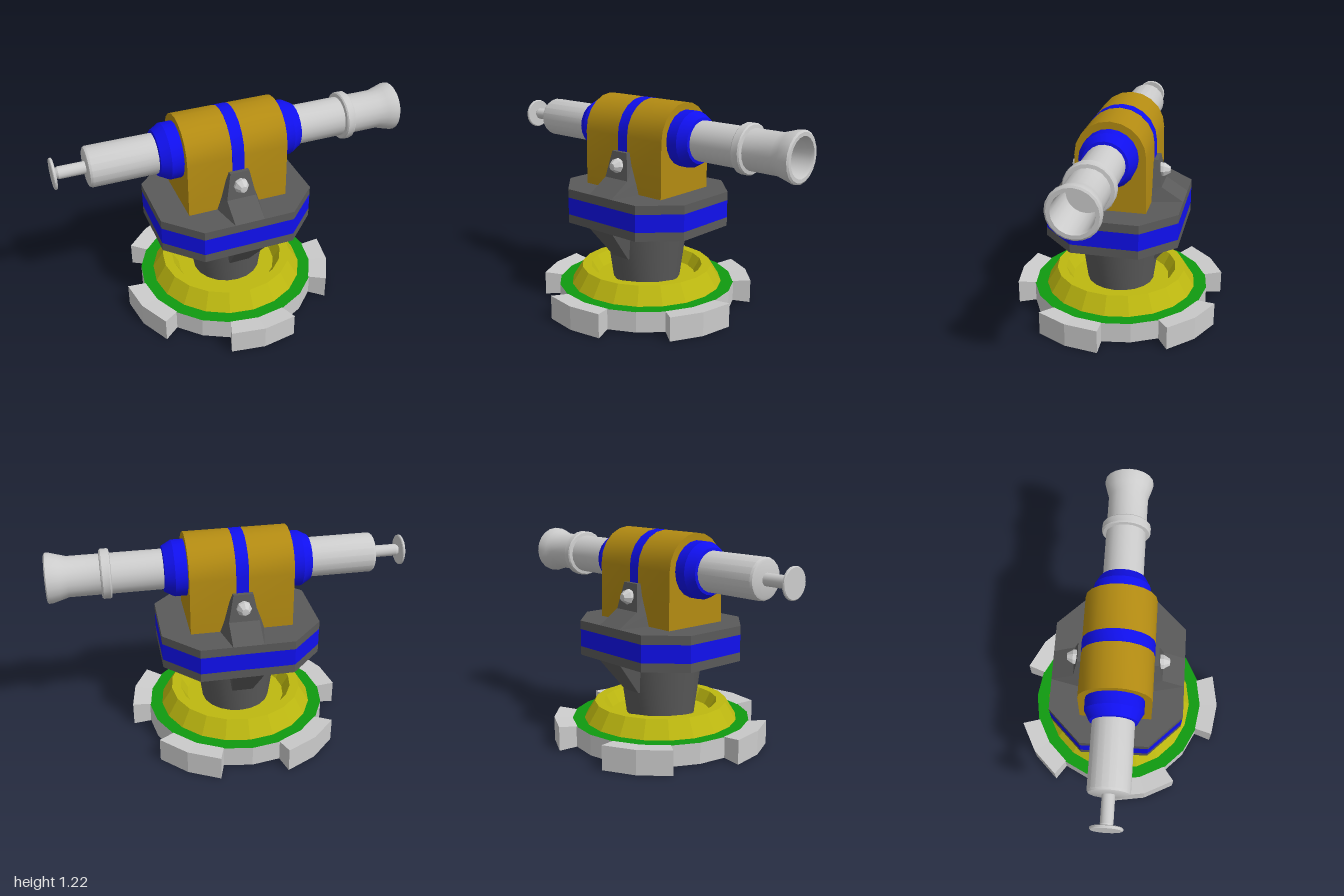
import * as THREE from 'three';
import { toCreasedNormals } from 'three/addons/utils/BufferGeometryUtils.js';

const SIDES = 20, STEP = Math.PI / 10, AXIS_Y = 1.025;
const material = (color, flatShading = false) =>
  new THREE.MeshStandardMaterial({ color, flatShading });
const grey = material(0xcccccc), greyFlat = material(0xcccccc, true);
const dark = material(0x5a5a5a, true), darkSmooth = material(0x5a5a5a);
const blue = material(0x1010ee), blueFlat = material(0x1010ee, true);
const gold = material(0xb38b12), yellow = material(0xbdb810, true), green = material(0x109a10, true);

function add(parent, name, geometry, mat) {
  const mesh = new THREE.Mesh(geometry, mat);
  mesh.name = name;
  parent.add(mesh);
  return mesh;
}

// Turned part from [radius, height] pairs
function turned(profile, sides = SIDES) {
  const points = profile.map(([r, y]) => new THREE.Vector2(r, y));
  return toCreasedNormals(new THREE.LatheGeometry(points, sides), 0.5);
}

// Turned part lying along x, from [x, radius] pairs
const turnedAlongX = (profile) =>
  turned(profile.map(([x, r]) => [r, x])).rotateZ(-Math.PI / 2);

// Closed solid through rings of [x, y, z], counterclockwise seen from above, bottom ring first
function loft(rings) {
  const pos = [], n = rings[0].length;
  const tri = (a, b, c) => pos.push(...a, ...b, ...c);
  for (let i = 0; i + 1 < rings.length; i++) {
    const lo = rings[i], hi = rings[i + 1];
    for (let j = 0; j < n; j++) {
      const k = (j + 1) % n;
      tri(lo[j], lo[k], hi[k]);
      tri(lo[j], hi[k], hi[j]);
    }
  }
  const bottom = rings[0], top = rings[rings.length - 1];
  for (let j = 1; j + 1 < n; j++) {
    tri(bottom[0], bottom[j + 1], bottom[j]);
    tri(top[0], top[j], top[j + 1]);
  }
  const g = new THREE.BufferGeometry();
  g.setAttribute('position', new THREE.Float32BufferAttribute(pos, 3));
  g.computeVertexNormals();
  return g;
}

// Trapezoid ring: inner z and half width, outer z and half width
const trapezoid = (y, zi, hi, zo, ho) =>
  [[-hi, y, zi], [-ho, y, zo], [ho, y, zo], [hi, y, zi]];

const octagon = (y) => [
  [-0.262, 0.376], [0.262, 0.376], [0.447, 0.19], [0.447, -0.19],
  [0.262, -0.376], [-0.262, -0.376], [-0.447, -0.19], [-0.447, 0.19],
].map(([x, z]) => [x, y, z]);

function toothRing(yInner, yOuter) {
  const p = (r, y, k) => [r * Math.sin(k * STEP), y, r * Math.cos(k * STEP)];
  return [p(0.622, yOuter, 0), p(0.622, yOuter, 1), p(0.515, yInner, 1),
    p(0.515, yInner, 0), p(0.515, yInner, -1), p(0.622, yOuter, -1)];
}

// Round-topped housing slice between two x positions
function housing(x0, x1, grow = 0) {
  const shape = new THREE.Shape();
  shape.moveTo(-0.2 - grow, 0.71);
  shape.lineTo(0.2 + grow, 0.71);
  for (let i = 0; i <= 10; i++) {
    const a = i * STEP, r = 0.197 + grow;
    shape.lineTo(r * Math.cos(a), AXIS_Y + r * Math.sin(a));
  }
  shape.closePath();
  const g = new THREE.ExtrudeGeometry(shape, { depth: x1 - x0, bevelEnabled: false });
  return toCreasedNormals(g.rotateY(Math.PI / 2).translate(x0, 0, 0), 0.5);
}

function createBase() {
  const base = new THREE.Group();
  base.name = 'base';
  add(base, 'baseDisc', turned([[0, 0.01], [0.52, 0.01], [0.52, 0.13]]), greyFlat);
  add(base, 'baseRim', turned([[0.52, 0.13], [0.44, 0.13]]), green);
  add(base, 'bearingRing', turned([[0.446, 0.13], [0.384, 0.23], [0.33, 0.23],
    [0.29, 0.16], [0, 0.16]]), yellow);
  const tooth = loft([toothRing(0.01, 0), toothRing(0.13, 0.14)]);
  for (let i = 0; i < 5; i++)
    add(base, 'tooth', tooth, greyFlat).rotation.y = i * Math.PI * 0.4;
  return base;
}

function createPlatform() {
  const platform = new THREE.Group();
  platform.name = 'platform';
  add(platform, 'pedestal', turned([[0.197, 0.15], [0.246, 0.51]]), darkSmooth);
  for (const [name, y0, y1, mat] of [['platformBottom', 0.51, 0.56, dark],
    ['platformStripe', 0.56, 0.66, blueFlat], ['platformTop', 0.66, 0.71, dark]])
    add(platform, name, loft([octagon(y0), octagon(y1)]), mat);

  // Struts, brackets and bolts at front and back
  const strut = loft([trapezoid(0.32, 0.1, 0.06, 0.222, 0.06),
    trapezoid(0.51, 0.1, 0.09, 0.375, 0.09)]);
  const bracket = loft([trapezoid(0.71, 0.15, 0.135, 0.376, 0.085),
    trapezoid(0.79, 0.15, 0.11, 0.25, 0.085), trapezoid(0.94, 0.15, 0.055, 0.222, 0.055)]);
  const bolt = turned([[0.042, 0.2], [0.042, 0.25], [0.02, 0.284], [0, 0.286]], 8)
    .rotateX(Math.PI / 2).translate(0, 0.865, 0);
  for (const turn of [0, Math.PI]) {
    const side = new THREE.Group();
    side.name = 'mount';
    side.rotation.y = turn;
    add(side, 'strut', strut, dark);
    add(side, 'bracket', bracket, dark);
    add(side, 'bolt', bolt, grey);
    platform.add(side);
  }
  return platform;
}

function createGun() {
  const gun = new THREE.Group();
  gun.name = 'gun';
  add(gun, 'housingLeft', housing(0.035, 0.288), gold);
  add(gun, 'housingRight', housing(-0.288, -0.035), gold);
  add(gun, 'housingBand', housing(-0.035, 0.035, 0.001), blue);

  // Collars, mirrored on both ends of the housing
  const collar = turnedAlongX([[0.27, 0.157], [0.355, 0.157], [0.38, 0.143],
    [0.408, 0.128], [0.412, 0.105]]).translate(0, AXIS_Y, 0);
  for (const turn of [0, Math.PI])
    add(gun, 'collar', collar, blue).rotation.y = turn;

  // Hollow barrel with ring and flared muzzle
  add(gun, 'barrel', turnedAlongX([[0.28, 0.112], [0.69, 0.112], [0.693, 0.131], [0.7, 0.137],
    [0.738, 0.137], [0.745, 0.131], [0.748, 0.112], [0.92, 0.112], [0.965, 0.125],
    [1.01, 0.138], [1.03, 0.138], [1.037, 0.128], [1.037, 0.108], [1.02, 0.104],
    [0.8, 0.1], [0.8, 0]]), grey).position.y = AXIS_Y;

  // Rear cylinder, rod and end knob
  add(gun, 'breech', turnedAlongX([[-0.785, 0], [-0.785, 0.095], [-0.78, 0.106],
    [-0.768, 0.112], [-0.28, 0.112]]), grey).position.y = AXIS_Y;
  add(gun, 'rod', turnedAlongX([[-0.955, 0.018], [-0.93, 0.034], [-0.78, 0.034]]),
    grey).position.y = AXIS_Y;
  add(gun, 'knob', turnedAlongX([[-0.963, 0], [-0.963, 0.08], [-0.959, 0.085],
    [-0.95, 0.085], [-0.946, 0.08], [-0.946, 0]]), grey).position.y = AXIS_Y;
  return gun;
}

export function createModel() {
  const model = new THREE.Group();
  model.name = 'turret';
  const body = new THREE.Group();
  body.name = 'body';
  body.add(createBase(), createPlatform(), createGun());
  body.position.set(-0.037, 0, -0.01);
  model.add(body);
  return model;
}
